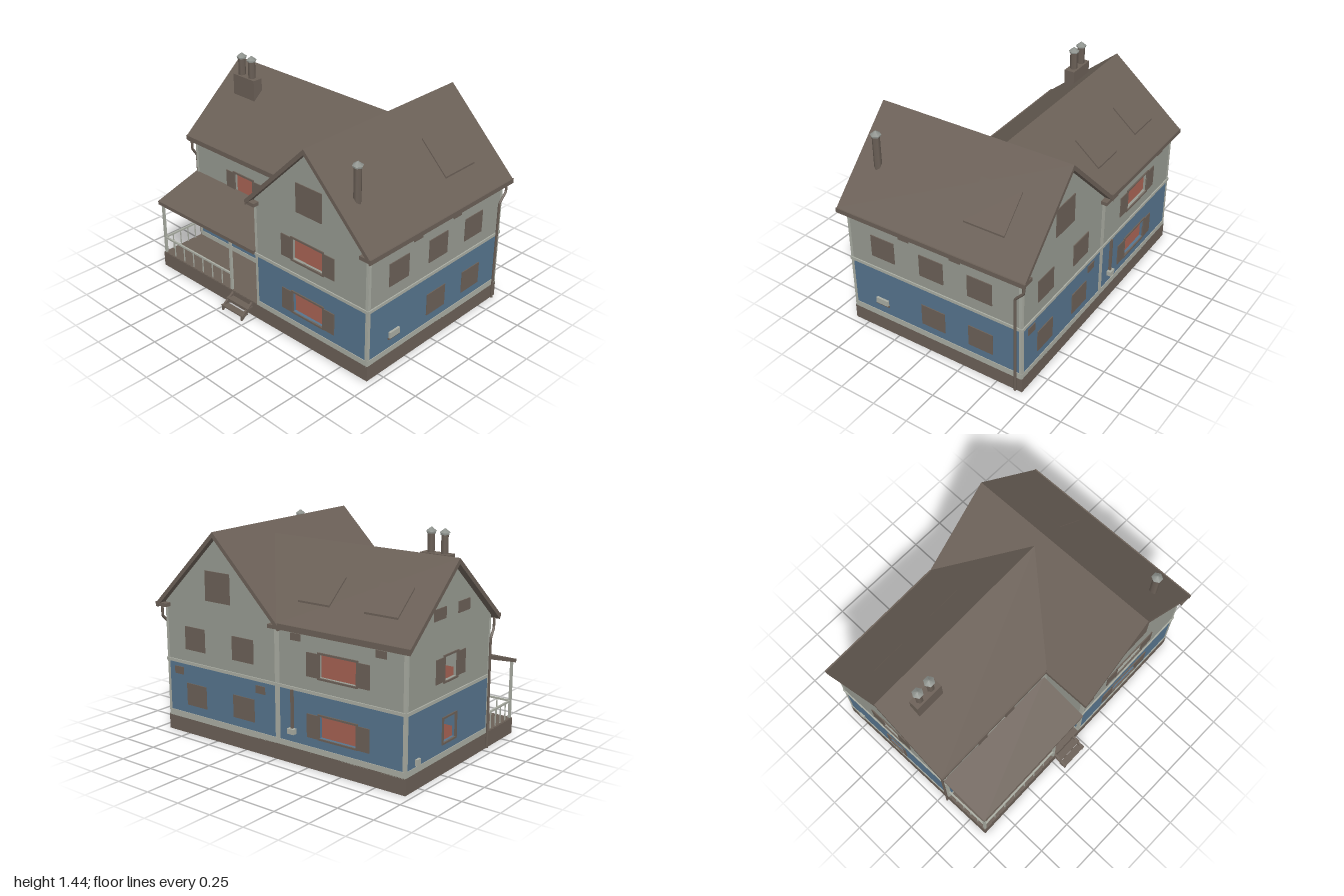
import * as THREE from 'three';

const mat = (name, color, side = THREE.FrontSide) => {
  const m = new THREE.MeshStandardMaterial({ color, side });
  m.name = name;
  return m;
};

export function createModel() {
  const brown = mat('brown wood', 0x6b6057);
  const grey = mat('grey plaster', 0x979a91);
  const blue = mat('blue siding', 0x56748d);
  const trim = mat('pale trim', 0xa9aca2);
  const red = mat('red floor', 0x8a5044);
  const metal = mat('cap metal', 0x8d918c);

  const model = new THREE.Group();
  model.name = 'house';
  const house = new THREE.Group();
  house.name = 'houseBody';
  house.rotation.y = 0.022;
  model.add(house);

  const add = (parent, name, geo, material) => {
    const m = new THREE.Mesh(geo, material);
    m.name = name;
    parent.add(m);
    return m;
  };
  // box given by its minimum and maximum corners
  const box = (parent, name, material, x0, x1, y0, y1, z0, z1) => {
    const m = add(parent, name, new THREE.BoxGeometry(x1 - x0, y1 - y0, z1 - z0), material);
    m.position.set((x0 + x1) / 2, (y0 + y1) / 2, (z0 + z1) / 2);
    return m;
  };
  // sloping slab: top outline in 3D, thickened straight down
  const slab = (name, material, pts, t) => {
    const p = pts.map(a => new THREE.Vector3(...a));
    const n = p[1].clone().sub(p[0]).cross(p[2].clone().sub(p[0]));
    if (n.y < 0) p.reverse();
    const q = p.map(v => v.clone().setY(v.y - t));
    const out = [];
    const tri = (...vs) => vs.forEach(v => out.push(v.x, v.y, v.z));
    p.forEach((v, i) => {
      const j = (i + 1) % p.length;
      if (i > 0 && i < p.length - 1) {
        tri(p[0], v, p[j]);
        tri(q[0], q[j], q[i]);
      }
      tri(v, q[i], q[j]);
      tri(v, q[j], p[j]);
    });
    const g = new THREE.BufferGeometry();
    g.setAttribute('position', new THREE.Float32BufferAttribute(out, 3));
    g.computeVertexNormals();
    return add(house, name, g, material);
  };
  // flat panel with rectangular holes [u0, u1, y0, y1]
  const panel = (parent, name, material, pts, holes, depth, z) => {
    const s = new THREE.Shape(pts.map(a => new THREE.Vector2(...a)));
    for (const [a, b, c, d] of holes)
      s.holes.push(new THREE.Path([[a, c], [a, d], [b, d], [b, c]].map(v => new THREE.Vector2(...v))));
    const m = add(parent, name, new THREE.ExtrudeGeometry(s, { depth, bevelEnabled: false }), material);
    m.position.z = z;
    return m;
  };
  const rect = (a, b, c, d) => [[a, c], [b, c], [b, d], [a, d]];

  // One outer wall facing local +z: plinth trim, blue storey, belt, grey storey with optional gable apex
  const wall = (name, ry, d, u0, u1, o = {}) => {
    const g = new THREE.Group();
    g.name = name;
    g.rotation.y = ry;
    house.add(g);
    const { apex, low = [], high = [], open = 0.02 } = o;
    const top = [[u0, 0.49], [u1, 0.49], [u1, 0.88]];
    if (apex) top.push(apex);
    top.push([u0, 0.88]);
    panel(g, 'lowerWall', blue, rect(u0, u1, 0.1, 0.49), low, open, d - open);
    panel(g, 'upperWall', grey, top, high, open, d - open);
    box(g, 'plinthTrim', trim, u0, u1, 0.1, 0.142, d - 0.005, d + 0.004);
    box(g, 'beltTrim', trim, u0 - 0.004, u1 + 0.004, 0.478, 0.498, d - 0.005, d + 0.008);
    for (const u of [u0, u1 - 0.018]) box(g, 'cornerBoard', trim, u, u + 0.018, 0.14, 0.86, d - 0.005, d + 0.003);
    for (const [a, b, c, e] of [...low, ...high])
      panel(g, 'windowFrame', brown, rect(a - 0.012, b + 0.012, c - 0.012, e + 0.012), [[a, b, c, e]], 0.012, d - 0.004);
    // plates: [u0, u1, y0, y1]
    for (const [a, b, c, e] of o.plates || []) box(g, 'shutter', brown, a, b, c, e, d - 0.004, d + 0.006);
    return g;
  };
  const shutters = (a, b, y0, w = 0.095) => [[a - w, a, y0, y0 + 0.15], [b, b + w, y0, y0 + 0.15]];
  const H = Math.PI / 2;

  // Plinth skirt, floors and porch deck
  const skirt = panel(house, 'plinth', brown, rect(-0.622, 0.659, -0.944, 0.944), [[-0.6, 0.637, -0.922, 0.922]], 0.105, 0);
  skirt.rotation.x = -H;
  box(house, 'groundFloorFront', red, -0.6, 0.637, 0.08, 0.1, 0, 0.922);
  box(house, 'groundFloorBack', red, -0.27, 0.637, 0.08, 0.1, -0.922, 0);
  box(house, 'upperFloorFront', red, -0.6, 0.637, 0.47, 0.5, 0, 0.922);
  box(house, 'upperFloorBack', red, -0.27, 0.637, 0.47, 0.5, -0.922, 0);
  box(house, 'porchDeck', brown, -0.62, -0.27, 0.08, 0.108, -0.94, 0);

  // Front wall
  const front = wall('frontWall', 0, 0.94, -0.618, 0.655, {
    plates: [
      [-0.44, -0.265, 0.58, 0.735], [-0.075, 0.1, 0.58, 0.735], [0.275, 0.45, 0.58, 0.735],
      [-0.075, 0.1, 0.2, 0.35], [0.275, 0.45, 0.2, 0.35],
      [-0.225, -0.147, 0.79, 0.835], [0.15, 0.227, 0.79, 0.835]],
  });
  box(front, 'meterBox', trim, -0.43, -0.34, 0.215, 0.255, 0.93, 0.955);
  box(front, 'meterShelf', brown, -0.435, -0.335, 0.205, 0.215, 0.93, 0.95);

  // Right walls (u = -z)
  wall('rightGableWall', H, 0.655, -0.94, 0, {
    apex: [-0.47, 1.35],
    plates: [
      [-0.77, -0.6, 0.58, 0.735], [-0.365, -0.19, 0.58, 0.735],
      [-0.77, -0.6, 0.2, 0.35], [-0.365, -0.19, 0.2, 0.35],
      [-0.58, -0.375, 0.93, 1.125], [-0.875, -0.8, 0.4, 0.45], [-0.175, -0.1, 0.4, 0.45]],
  });
  const rw = wall('rightWingWall', H, 0.655, 0, 0.94, {
    low: [[0.325, 0.595, 0.21, 0.35]], high: [[0.325, 0.595, 0.59, 0.735]],
    plates: [...shutters(0.325, 0.595, 0.2), ...shutters(0.325, 0.595, 0.585),
      [0.11, 0.185, 0.79, 0.835], [0.73, 0.805, 0.79, 0.835]],
  });
  box(rw, 'ventPipe', brown, 0.113, 0.127, 0.22, 0.48, 0.65, 0.672);
  box(rw, 'ventBox', trim, 0.095, 0.145, 0.198, 0.232, 0.65, 0.685);

  // Back gable wall (u = -x)
  const back = wall('backGableWall', 2 * H, 0.94, -0.655, 0.285, {
    apex: [-0.185, 1.28],
    low: [[-0.255, -0.115, 0.2, 0.35]], high: [[-0.255, -0.115, 0.585, 0.735]],
    plates: [...shutters(-0.255, -0.115, 0.585),
      [-0.385, -0.255, 0.97, 1.04], [-0.115, 0.015, 0.97, 1.04]],
  });
  box(back, 'socketBox', trim, -0.555, -0.515, 0.15, 0.19, 0.93, 0.955);
  wall('innerCornerWall', 2 * H, 0, 0.285, 0.618);

  // Left walls (u = z)
  wall('leftGableWall', -H, 0.618, 0, 0.94, {
    apex: [0.47, 1.35],
    low: [[0.33, 0.58, 0.21, 0.35]], high: [[0.33, 0.58, 0.59, 0.735]],
    plates: [...shutters(0.33, 0.58, 0.2), ...shutters(0.33, 0.58, 0.585), [0.365, 0.575, 0.93, 1.125]],
  });
  wall('leftWingWall', -H, 0.285, -0.94, 0, {
    low: [[-0.55, -0.375, 0.21, 0.35]], high: [[-0.55, -0.375, 0.59, 0.735]],
    plates: [...shutters(-0.55, -0.375, 0.585, 0.08), [-0.23, -0.09, 0.11, 0.44]],
  });

  // Main roof, ridge along x
  const mainY = z => 1.385 - Math.abs(z - 0.47);
  for (const z of [0.98, -0.04]) {
    slab('mainRoofSlope', brown, [[-0.662, 1.385, 0.47], [0.699, 1.385, 0.47], [0.699, mainY(z), z], [-0.662, mainY(z), z]], 0.036);
    const inner = z > 0 ? 0.9 : 0.04;
    for (const [a, b] of [[-0.66, -0.618], [0.655, 0.697]])
      box(house, 'eaveReturn', brown, a, b, 0.848, 0.872, Math.min(z, inner), Math.max(z, inner));
  }
  box(house, 'frontGutter', brown, -0.664, 0.701, 0.845, 0.876, 0.972, 0.988);

  // Wing roof, ridge along z, cut along the valleys
  const wingY = x => 1.315 - 0.846 * Math.abs(x - 0.185);
  for (const x of [-0.323, 0.693]) {
    slab('wingRoofSlope', brown, [[0.185, 1.315, -0.985], [0.185, 1.315, 0.4], [x, wingY(x), -0.03], [x, wingY(x), -0.985]], 0.036);
    box(house, 'wingGutter', brown, x - 0.007, x + 0.007, 0.858, 0.888, -0.985, -0.04);
  }

  // Skylights
  const light = (name, x0, x1, z0, z1, f) =>
    slab(name, brown, [[x0, z0], [x1, z0], [x1, z1], [x0, z1]].map(([x, z]) => [x, f(x, z) + 0.012, z]), 0.02);
  light('frontSkylight', 0.185, 0.47, 0.645, 0.84, (x, z) => mainY(z));
  light('wingSkylight', 0.385, 0.558, -0.81, -0.575, wingY);
  light('wingSkylight', 0.385, 0.558, -0.325, -0.09, wingY);

  // Flues with hexagonal caps
  const flue = (x, z, y0, y1) => {
    add(house, 'flue', new THREE.CylinderGeometry(0.025, 0.025, y1 - y0, 6), brown).position.set(x, (y0 + y1) / 2, z);
    add(house, 'flueCollar', new THREE.CylinderGeometry(0.031, 0.031, 0.012, 6), metal).position.set(x, y1 + 0.004, z);
    add(house, 'flueCap', new THREE.CylinderGeometry(0.004, 0.036, 0.025, 6), metal).position.set(x, y1 + 0.022, z);
  };
  flue(-0.507, 0.744, 1.08, 1.317);
  box(house, 'chimneyBlock', brown, -0.016, 0.056, 1.1, 1.29, -0.83, -0.63);
  flue(0.02, -0.78, 1.28, 1.408);
  flue(0.02, -0.685, 1.28, 1.408);

  // Downpipes
  const pipe = pts => {
    const path = new THREE.CurvePath();
    const v = pts.map(p => new THREE.Vector3(...p));
    for (let i = 1; i < v.length; i++) path.add(new THREE.LineCurve3(v[i - 1], v[i]));
    add(house, 'downpipe', new THREE.TubeGeometry(path, 48, 0.009, 6), brown);
  };
  pipe([[0.675, 0.85, 0.955], [0.675, 0.78, 0.955], [0.615, 0.715, 0.953], [0.615, 0.005, 0.953]]);
  pipe([[-0.312, 0.86, -0.95], [-0.312, 0.79, -0.95], [-0.272, 0.73, -0.952], [-0.272, 0.005, -0.952]]);

  // Porch roof, posts and railing
  slab('porchRoof', brown, [[-0.285, 0.615, -0.95], [-0.285, 0.615, -0.003], [-0.635, 0.51, -0.003], [-0.635, 0.51, -0.95]], 0.025);
  for (const z of [-0.93, -0.25]) box(house, 'porchPost', trim, -0.618, -0.602, 0.1, 0.5, z - 0.008, z + 0.008);
  box(house, 'sideRail', trim, -0.616, -0.604, 0.218, 0.23, -0.93, -0.25);
  box(house, 'backRail', trim, -0.61, -0.285, 0.218, 0.23, -0.936, -0.924);
  for (let i = 1; i < 7; i++) {
    const z = -0.93 + i * 0.097;
    box(house, 'baluster', trim, -0.613, -0.607, 0.1, 0.22, z - 0.003, z + 0.003);
  }
  for (let i = 1; i < 5; i++) {
    const x = -0.61 + i * 0.065;
    box(house, 'baluster', trim, x - 0.003, x + 0.003, 0.1, 0.22, -0.933, -0.927);
  }

  // Porch steps: two sloping stringers and two treads
  for (const z of [-0.24, -0.06])
    slab('stepStringer', brown, [[-0.62, 0.1, z], [-0.62, 0.1, z + 0.015], [-0.717, 0.03, z + 0.015], [-0.717, 0.03, z]], 0.03);
  box(house, 'stepTread', brown, -0.672, -0.625, 0.065, 0.073, -0.245, -0.04);
  box(house, 'stepTread', brown, -0.717, -0.67, 0.03, 0.038, -0.245, -0.04);

  return model;
}
